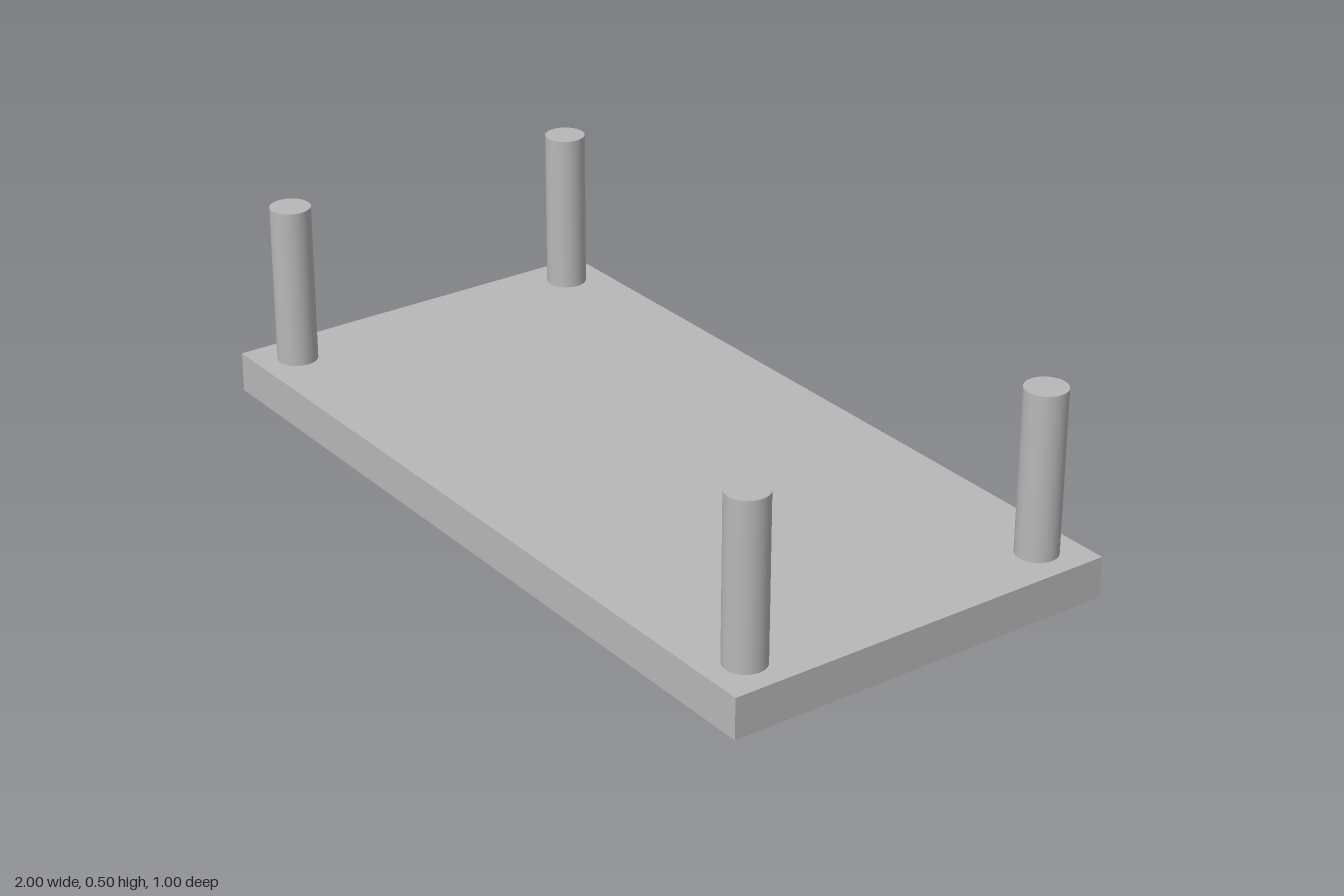
import * as THREE from 'three';

export function createModel() {
  const model = new THREE.Group();
  model.name = 'table';
  const grey = new THREE.MeshStandardMaterial({ color: 0xb8b8b8 });
  grey.name = 'grey';

  // Flat slab resting on the ground
  const slab = new THREE.Mesh(new THREE.BoxGeometry(2, 0.1, 1), grey);
  slab.name = 'tableTop';
  slab.position.y = 0.05;
  model.add(slab);

  // Four round legs standing near the corners
  const legGeometry = new THREE.CylinderGeometry(0.05, 0.05, 0.4, 32);
  for (const [side, x] of [['Left', 0.9], ['Right', -0.9]]) {
    for (const [end, z] of [['front', 0.4], ['back', -0.4]]) {
      const leg = new THREE.Mesh(legGeometry, grey);
      leg.name = `${end}${side}Leg`;
      leg.position.set(x, 0.3, z);
      model.add(leg);
    }
  }
  return model;
}
